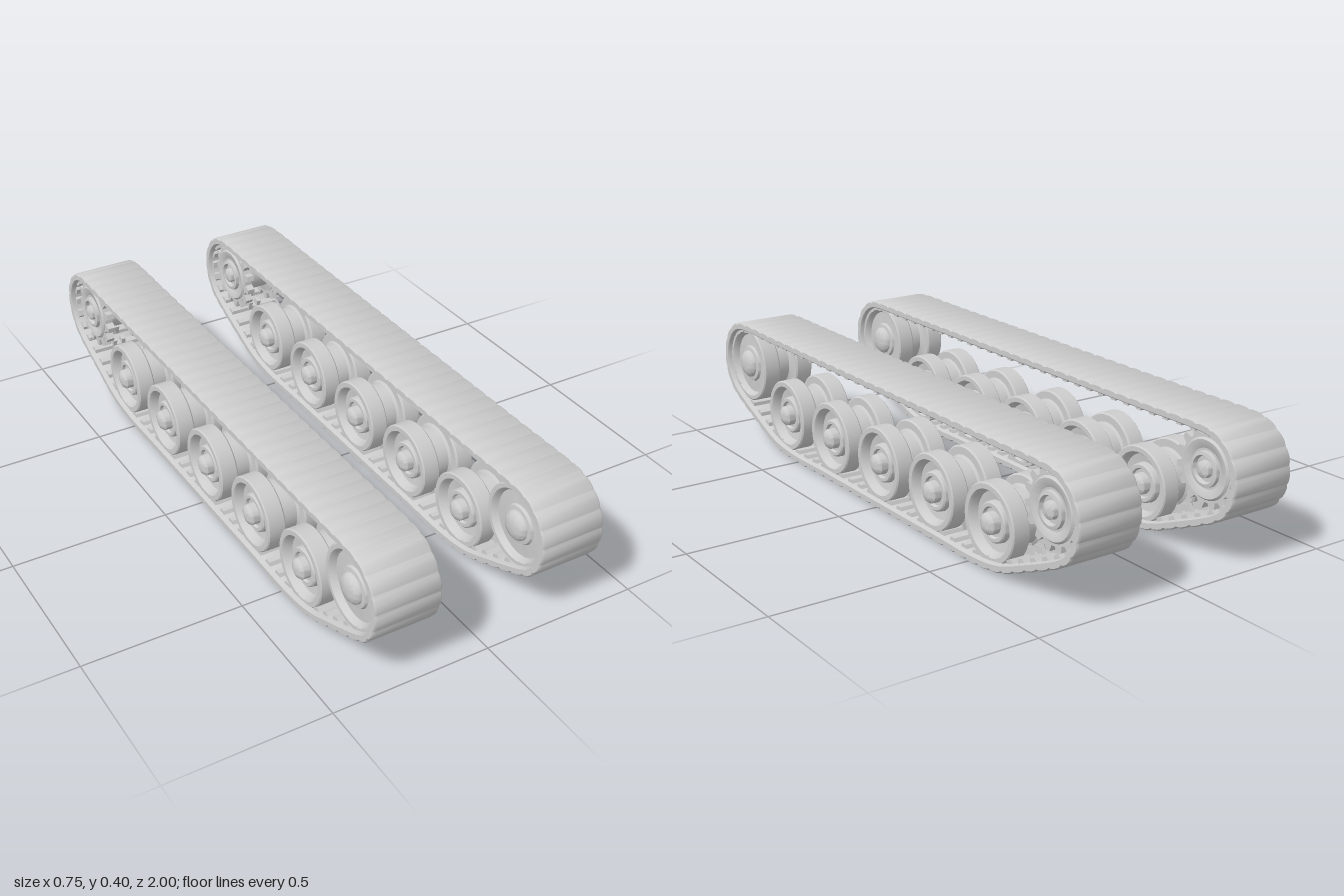
import * as THREE from 'three';
import { mergeGeometries, toCreasedNormals } from 'three/addons/utils/BufferGeometryUtils.js';

const LINKS = 76;
const WIDTH = 0.209;

// Side outline of the track: x runs forward, y up, counter-clockwise
function trackPath() {
  const pts = [];
  const add = (x, y) => pts.push(new THREE.Vector3(x, y, 0));
  const arc = (cx, cy, r, from, to) => {
    for (let i = 0; i <= 8; i++) {
      const a = THREE.MathUtils.degToRad(from + (to - from) * i / 8);
      add(cx + r * Math.cos(a), cy + r * Math.sin(a));
    }
  };
  for (const x of [-0.55, -0.3, 0, 0.3, 0.55]) add(x, 0.001);
  add(0.66, 0.018);
  add(0.76, 0.056);
  arc(0.855, 0.256, 0.145, -55, 90);
  for (const x of [0.6, 0.3, 0, -0.3, -0.6]) add(x, 0.401);
  arc(-0.855, 0.256, 0.145, 90, 235);
  add(-0.76, 0.056);
  add(-0.66, 0.018);
  const curve = new THREE.CatmullRomCurve3(pts, true, 'centripetal');
  curve.arcLengthDivisions = 1000;
  return curve;
}

// Point and inward normal at a fraction of the path, moved inward by d
function onPath(curve, u, d) {
  const p = curve.getPointAt(u % 1), t = curve.getTangentAt(u % 1);
  return { x: p.x - t.y * d, y: p.y + t.x * d, angle: Math.atan2(t.y, t.x) };
}

// Band with a soft groove between neighbouring links
function bandGeometry(curve) {
  const outer = [], inner = [];
  const steps = [[0, 0.0045], [0.18, 0.001], [0.5, 0], [0.82, 0.001]];
  for (let i = 0; i < LINKS; i++) {
    for (const [f, d] of steps) {
      const q = onPath(curve, (i + f) / LINKS, d);
      outer.push(new THREE.Vector2(q.x, q.y));
    }
    for (const f of [0, 0.5]) {
      const q = onPath(curve, (i + f) / LINKS, 0.026);
      inner.push(new THREE.Vector2(q.x, q.y));
    }
  }
  const shape = new THREE.Shape(outer);
  shape.holes.push(new THREE.Path(inner));
  const geo = new THREE.ExtrudeGeometry(shape, {
    depth: WIDTH - 0.01, bevelThickness: 0.005, bevelSize: 0.004, bevelOffset: -0.004, bevelSegments: 1,
  });
  geo.translate(0, 0, -(WIDTH - 0.01) / 2);
  return toCreasedNormals(geo, 0.75);
}

// One tapered box per link on the inner face, at each given sideways offset
function linkBoxes(curve, length, height, width, offsets) {
  const parts = [];
  for (let i = 0; i < LINKS; i++) {
    const q = onPath(curve, (i + 0.5) / LINKS, 0.024 + height / 2);
    for (const z of offsets) {
      const g = new THREE.BoxGeometry(length, height, width);
      const pos = g.attributes.position;
      for (let k = 0; k < pos.count; k++) if (pos.getY(k) > 0) pos.setX(k, pos.getX(k) * 0.6);
      g.computeVertexNormals();
      parts.push(g.rotateZ(q.angle).translate(q.x, q.y, z));
    }
  }
  return mergeGeometries(parts);
}

// Symmetric wheel turned from half a profile of [radius, sideways] points, centre groove first
function turned(half) {
  const pts = [...half.map(([r, z]) => [r, -z]).reverse(), ...half];
  const geo = new THREE.LatheGeometry(pts.map(([r, z]) => new THREE.Vector2(r, z)), 40);
  return toCreasedNormals(geo.rotateX(Math.PI / 2), 0.6);
}

// Toothed sprocket disc
function gearGeometry(teeth, root, tip, depth) {
  const pts = [];
  for (let i = 0; i < teeth; i++) {
    for (const [f, r] of [[0, root], [0.3, root], [0.48, tip], [0.82, tip]]) {
      const a = (i + f) / teeth * Math.PI * 2;
      pts.push(new THREE.Vector2(r * Math.cos(a), r * Math.sin(a)));
    }
  }
  const geo = new THREE.ExtrudeGeometry(new THREE.Shape(pts), { depth, bevelEnabled: false });
  return geo.translate(0, 0, -depth / 2);
}

export function createModel() {
  const grey = new THREE.MeshStandardMaterial({ color: 0xcccccc });
  grey.name = 'light grey metal';
  const model = new THREE.Group();
  model.name = 'tracks';

  const curve = trackPath();
  const band = bandGeometry(curve);
  const ribs = linkBoxes(curve, 0.032, 0.013, WIDTH - 0.03, [0]);
  const horns = linkBoxes(curve, 0.03, 0.034, 0.014, [-0.016, 0.016]);

  // Double wheels: groove, rim, dish, hub ring and domed cap
  const roadWheel = turned([
    [0.082, 0.025], [0.09, 0.031], [0.113, 0.031], [0.118, 0.036], [0.118, 0.086], [0.114, 0.09],
    [0.099, 0.09], [0.094, 0.084], [0.088, 0.062], [0.062, 0.058], [0.06, 0.074], [0.056, 0.078],
    [0.046, 0.078], [0.042, 0.07], [0.033, 0.07], [0.032, 0.092], [0.026, 0.099], [0.014, 0.104], [0, 0.105],
  ]);
  const idlerWheel = turned([
    [0.084, 0.025], [0.094, 0.031], [0.124, 0.031], [0.128, 0.036], [0.128, 0.086], [0.124, 0.09],
    [0.112, 0.09], [0.107, 0.084], [0.102, 0.07], [0.062, 0.072], [0.058, 0.08], [0.046, 0.082],
    [0.044, 0.09], [0.036, 0.098], [0.02, 0.103], [0, 0.104],
  ]);
  const sprocketHub = turned([
    [0.066, 0.04], [0.09, 0.046], [0.092, 0.076], [0.086, 0.082], [0.064, 0.078], [0.054, 0.07],
    [0.052, 0.086], [0.042, 0.088], [0.038, 0.074], [0.026, 0.074], [0.024, 0.09], [0.014, 0.096], [0, 0.097],
  ]);
  const gear = gearGeometry(15, 0.1, 0.122, 0.026);

  for (const [side, x] of [['left', 0.27], ['right', -0.27]]) {
    const track = new THREE.Group();
    track.name = side + 'Track';
    track.position.x = x;
    track.rotation.y = -Math.PI / 2; // local x becomes forward
    const add = (name, geo, px = 0, py = 0, pz = 0) => {
      const mesh = new THREE.Mesh(geo, grey);
      mesh.name = name;
      mesh.position.set(px, py, pz);
      track.add(mesh);
    };
    add('trackBand', band);
    add('linkRibs', ribs);
    add('guideHorns', horns);
    for (let i = 0; i < 5; i++) add('roadWheel' + (i + 1), roadWheel, 0.585 - i * 0.292, 0.137);
    add('idlerWheel', idlerWheel, 0.852, 0.255);
    add('sprocketHub', sprocketHub, -0.85, 0.262);
    for (const z of [-0.062, 0.062]) add('sprocketGear', gear, -0.85, 0.262, z);
    model.add(track);
  }
  return model;
}
